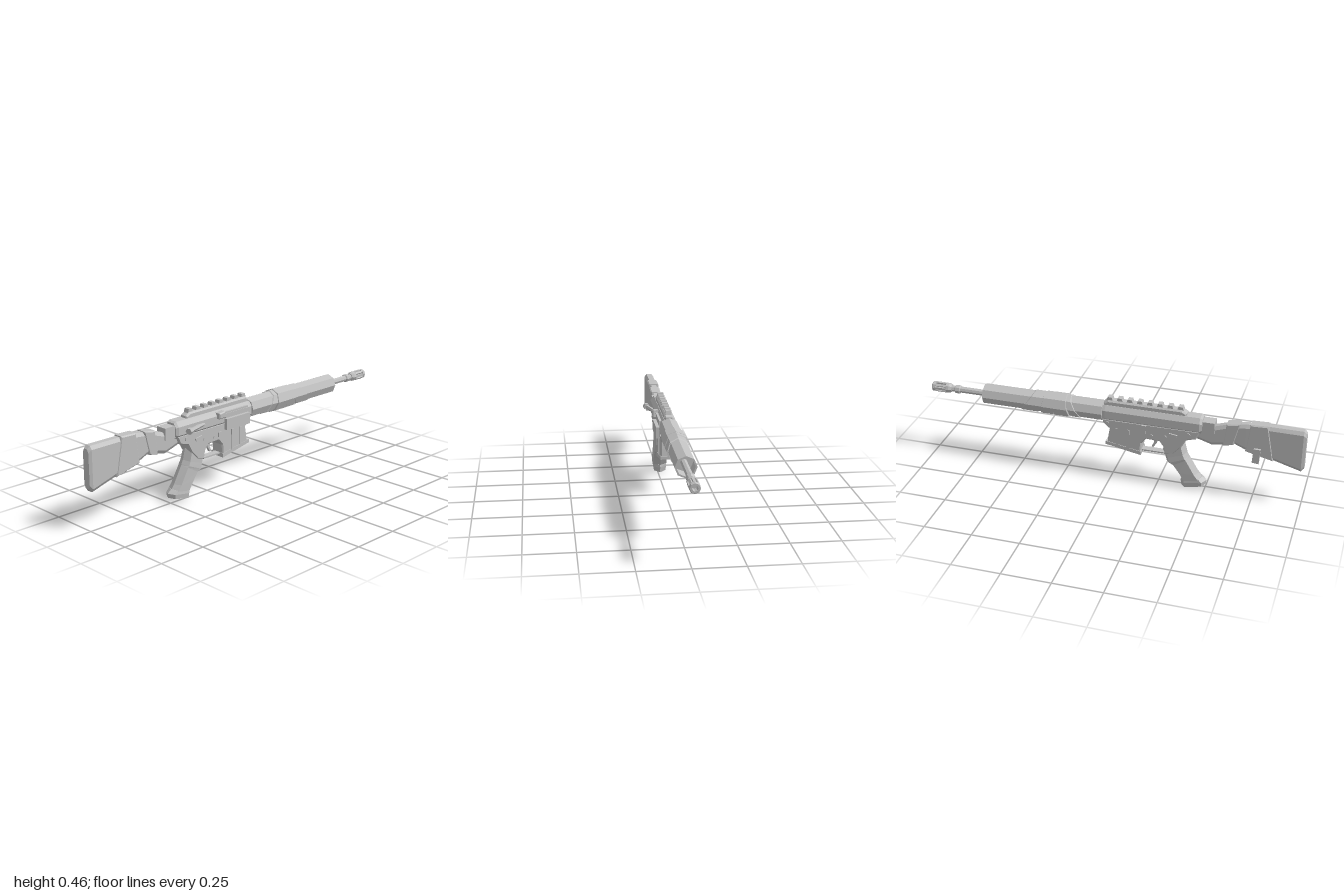
import * as THREE from 'three';

const ZC = -0.012;      // middle plane of the body
const AXIS_Y = 0.379;   // bore height

export function createModel() {
  const group = new THREE.Group();
  const grey = new THREE.MeshStandardMaterial({ color: 0xc0c0c0 });

  // Adds a faceted mesh
  const add = (name, geo, x = 0, y = 0, z = 0) => {
    const g = geo.index ? geo.toNonIndexed() : geo;
    g.computeVertexNormals();
    const m = new THREE.Mesh(g, grey);
    m.name = name;
    m.position.set(x, y, z);
    group.add(m);
    return m;
  };
  const box = (name, x0, x1, y0, y1, z0, z1) =>
    add(name, new THREE.BoxGeometry(x1 - x0, y1 - y0, z1 - z0), (x0 + x1) / 2, (y0 + y1) / 2, (z0 + z1) / 2);

  // Side outline extruded across z with chamfered edges
  const slab = (name, pts, half, bevel = 0.006, z = ZC) => {
    const shape = new THREE.Shape(pts.map(p => new THREE.Vector2(...p)));
    const geo = new THREE.ExtrudeGeometry(shape, {
      depth: 2 * (half - bevel), bevelEnabled: bevel > 0, bevelSize: bevel,
      bevelThickness: bevel, bevelOffset: -bevel, bevelSegments: 1,
    });
    geo.translate(0, 0, bevel - half);
    return add(name, geo, 0, 0, z);
  };

  // Faceted turning about the bore; profile is [x, radius], lean slants it along x
  const turned = (name, profile, sides = 8, lean = 0) => {
    const geo = new THREE.LatheGeometry(profile.map(([x, r]) => new THREE.Vector2(r, x)), sides);
    geo.rotateZ(-Math.PI / 2);
    const p = geo.attributes.position;
    for (let i = 0; i < p.count; i++) p.setX(i, p.getX(i) + lean * p.getY(i));
    return add(name, geo, 0, AXIS_Y, ZC);
  };

  // Skin over equal rings of [x, y, z], ends capped, turned outward
  const loft = (name, rings) => {
    const n = rings[0].length, pos = rings.flat(2), idx = [];
    for (let r = 0; r < rings.length - 1; r++) for (let i = 0; i < n; i++) {
      const a = r * n + i, b = r * n + (i + 1) % n;
      idx.push(a, b, a + n, b, b + n, a + n);
    }
    const last = (rings.length - 1) * n;
    for (let i = 1; i < n - 1; i++) idx.push(0, i + 1, i, last, last + i, last + i + 1);
    const v = i => new THREE.Vector3(pos[3 * i], pos[3 * i + 1], pos[3 * i + 2]);
    let volume = 0;
    for (let i = 0; i < idx.length; i += 3) volume += v(idx[i]).dot(v(idx[i + 1]).cross(v(idx[i + 2])));
    if (volume < 0) idx.reverse();
    const geo = new THREE.BufferGeometry();
    geo.setAttribute('position', new THREE.Float32BufferAttribute(pos, 3));
    geo.setIndex(idx);
    return add(name, geo, 0, 0, ZC);
  };

  // Shoulder stock: chamfered sections of x, bottom, top, half width
  loft('stock', [
    [-1, 0.215, 0.41, 0.02], [-0.985, 0.197, 0.425, 0.027], [-0.8, 0.25, 0.425, 0.025],
    [-0.7, 0.275, 0.42, 0.025], [-0.63, 0.305, 0.412, 0.024], [-0.59, 0.287, 0.4, 0.024],
    [-0.53, 0.275, 0.38, 0.024], [-0.45, 0.3, 0.375, 0.024],
  ].map(([x, b, t, w]) => {
    const c = 0.018, k = w * 0.55;
    return [[x, b, -k], [x, b, k], [x, b + c, w], [x, t - c, w], [x, t, k], [x, t, -k], [x, t - c, -w], [x, b + c, -w]];
  }));
  slab('stockWrapRear', [[-0.81, 0.43], [-0.72, 0.427], [-0.7, 0.272], [-0.845, 0.236]], 0.029);
  slab('stockWrapFront', [[-0.67, 0.421], [-0.6, 0.41], [-0.585, 0.285], [-0.64, 0.296]], 0.028);
  slab('slingStrap', [[-0.78, 0.3], [-0.745, 0.3], [-0.74, 0.222], [-0.775, 0.218]], 0.008, 0, -0.046);
  box('stockCollar', -0.54, -0.46, 0.345, 0.407, ZC - 0.03, ZC + 0.03);

  // Upper receiver, an eight-sided bar along x
  const bar = (x, s) => [[-0.026, 0.335], [0.026, 0.335], [0.044, 0.355], [0.044, 0.398],
    [0.026, 0.424], [-0.026, 0.424], [-0.044, 0.398], [-0.044, 0.355]]
    .map(([z, y]) => [x, AXIS_Y + (y - AXIS_Y) * s, z * s]);
  loft('upperReceiver', [bar(-0.478, 0.85), bar(-0.465, 1), bar(0.03, 1), bar(0.047, 0.95)]);

  // Top rail with teeth
  slab('railBase', [[-0.395, 0.41], [-0.395, 0.435], [-0.37, 0.45], [0.02, 0.45], [0.042, 0.435], [0.042, 0.41]], 0.024, 0.008);
  for (let i = 0; i < 8; i++) {
    const x = -0.36 + i * 0.053;
    slab('railTooth', [[x - 0.017, 0.445], [x - 0.011, 0.466], [x + 0.011, 0.466], [x + 0.017, 0.445]], 0.0155, 0);
  }

  // Lower receiver with magazine well
  slab('lowerReceiver', [
    [-0.47, 0.35], [-0.45, 0.305], [-0.4, 0.29], [-0.375, 0.245], [-0.335, 0.2], [-0.29, 0.19],
    [-0.28, 0.235], [-0.26, 0.262], [-0.19, 0.265], [-0.165, 0.235], [-0.16, 0.175], [0.018, 0.21],
    [0.012, 0.255], [0.005, 0.295], [0.04, 0.325], [0.045, 0.35],
  ], 0.039);
  slab('magazineWellLip', [[-0.164, 0.188], [-0.164, 0.167], [0.025, 0.204], [0.025, 0.222]], 0.042, 0);
  for (const s of [-1, 1]) for (const x of [-0.095, -0.035])
    slab('wellRib', [[x - 0.006, 0.305], [x + 0.006, 0.305], [x + 0.006, 0.2], [x - 0.006, 0.195]], 0.003, 0, ZC + s * 0.04);

  // Trigger and its guard
  box('triggerGuard', -0.295, -0.155, 0.182, 0.19, ZC - 0.018, ZC + 0.018);
  slab('trigger', [[-0.245, 0.27], [-0.22, 0.27], [-0.225, 0.235], [-0.212, 0.208], [-0.222, 0.206], [-0.24, 0.235]], 0.008, 0);

  // Pistol grip: sections from back point to front point, pointed fore and aft
  const gripRing = ([bx, by, fx, fy, w]) => {
    const at = (t, z, drop = 0) => [bx + (fx - bx) * t, by + (fy - by) * t + drop, z];
    return [at(0, 0), at(0.15, w), at(0.82, w), at(1, 0), at(0.82, -w), at(0.15, -w)];
  };
  loft('grip', [
    [-0.385, 0.27, -0.27, 0.205, 0.034], [-0.402, 0.205, -0.285, 0.165, 0.036],
    [-0.412, 0.185, -0.293, 0.136, 0.038], [-0.415, 0.178, -0.318, 0.124, 0.036],
    [-0.465, 0.09, -0.345, 0.092, 0.037], [-0.485, 0.065, -0.375, 0.045, 0.037],
  ].map(gripRing));
  loft('gripCap', [
    [-0.485, 0.07, -0.372, 0.045, 0.033], [-0.507, 0.052, -0.37, 0.03, 0.035], [-0.505, 0.03, -0.375, 0.003, 0.032],
  ].map(gripRing));

  // Ejection side: open cover, port frame, deflector, forward assist
  box('portCover', -0.155, 0.012, 0.317, 0.376, 0.034, 0.052);
  box('portFrameTop', -0.155, 0.012, 0.402, 0.41, 0.02, 0.036);
  box('bolt', -0.15, 0.005, 0.378, 0.4, 0.028, 0.035);
  slab('deflector', [[-0.205, 0.385], [-0.205, 0.415], [-0.165, 0.42], [-0.158, 0.385]], 0.018, 0.005, 0.034);
  const assist = [
    ['assistTube', 0.011, 0.13, -0.355, 0.042], ['assistButton', 0.017, 0.022, -0.418, 0.06],
  ];
  for (const [name, r, len, x, z] of assist) {
    const m = add(name, new THREE.CylinderGeometry(r, r, len, 6).rotateZ(Math.PI / 2), x, 0.376, z);
    m.rotation.y = 0.28;
  }

  // Pins and controls on both sides
  for (const s of [-1, 1]) {
    for (const [x, y, r] of [[-0.41, 0.325, 0.011], [-0.29, 0.295, 0.008], [-0.22, 0.29, 0.008], [0.018, 0.33, 0.009]])
      add('pin', new THREE.CylinderGeometry(r, r, 0.008, 8).rotateX(Math.PI / 2), x, y, ZC + s * 0.04);
    slab('selector', [[-0.355, 0.315], [-0.31, 0.322], [-0.305, 0.31], [-0.35, 0.3]], 0.005, 0, ZC + s * 0.041);
  }
  box('magazineCatch', -0.195, -0.175, 0.285, 0.31, ZC + 0.036, ZC + 0.045);
  box('boltCatch', -0.19, -0.165, 0.3, 0.345, ZC - 0.046, ZC - 0.036);

  // Hollow handguard with slanted wraps
  turned('handguard', [[0.045, 0], [0.045, 0.054], [0.7, 0.054], [0.7, 0.045], [0.62, 0.045], [0.62, 0]]);
  const wraps = [
    [0.185, 0.235, 0.058, 0.6], [0.228, 0.315, 0.0625, 0.2], [0.3, 0.372, 0.0615, -0.15], [0.36, 0.46, 0.0585, -0.7],
  ];
  for (const [x0, x1, r, lean] of wraps)
    turned('handguardWrap', [[x0, 0.05], [x0 + 0.004, r], [x1 - 0.004, r], [x1, 0.05]], 8, lean);

  // Barrel, collar and slotted muzzle
  turned('barrel', [[0.6, 0], [0.6, 0.017], [0.84, 0.017], [0.845, 0.023], [0.868, 0.023], [0.873, 0.016], [0.9, 0.016], [0.9, 0]]);
  turned('muzzleCore', [[0.89, 0], [0.89, 0.02], [0.905, 0.027], [0.922, 0.027], [0.922, 0.019],
    [0.98, 0.019], [0.98, 0.027], [0.996, 0.027], [1, 0.024], [1, 0.014], [0.96, 0.014], [0.96, 0]]);
  for (let i = 0; i < 8; i++) {
    const a = i * Math.PI / 4, r = 0.0205;
    const m = add('muzzleRib', new THREE.BoxGeometry(0.062, 0.011, 0.012), 0.951, AXIS_Y + r * Math.cos(a), ZC + r * Math.sin(a));
    m.rotation.x = a;
  }
  return group;
}
